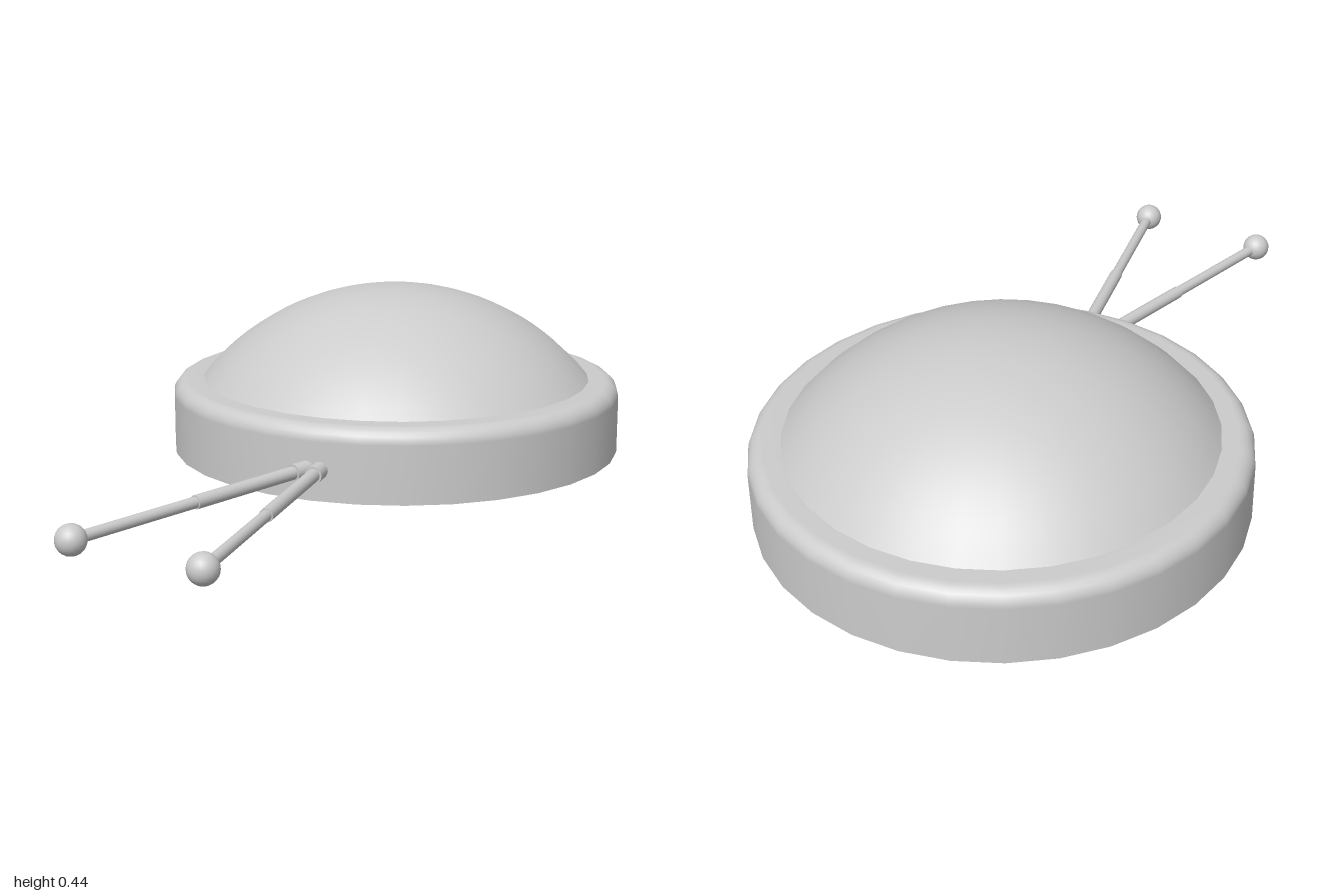
import * as THREE from 'three';

const material = new THREE.MeshStandardMaterial({ color: 0xcccccc });
const BODY_Z = -0.39;

function lathe(name, points) {
  const mesh = new THREE.Mesh(new THREE.LatheGeometry(points.map(([r, y]) => new THREE.Vector2(r, y)), 32), material);
  mesh.name = name;
  mesh.position.z = BODY_Z;
  return mesh;
}

// Capped rod running from a to b
function rod(name, a, b, radiusA, radiusB) {
  const mesh = new THREE.Mesh(new THREE.CylinderGeometry(radiusB, radiusA, a.distanceTo(b), 16), material);
  mesh.name = name;
  mesh.position.copy(a).lerp(b, 0.5);
  mesh.quaternion.setFromUnitVectors(new THREE.Vector3(0, 1, 0), b.clone().sub(a).normalize());
  return mesh;
}

// Antenna: socket, two telescoping rods and a ball tip
function antenna(name, base, tip) {
  const group = new THREE.Group();
  group.name = name;
  const at = (t) => base.clone().lerp(tip, t);
  group.add(rod('antennaSocket', at(-0.04), at(0.06), 0.022, 0.022));
  group.add(rod('antennaInnerRod', at(0), at(0.5), 0.017, 0.017));
  group.add(rod('antennaOuterRod', at(0.48), at(1), 0.014, 0.014));
  const ball = new THREE.Mesh(new THREE.SphereGeometry(0.037, 20, 14), material);
  ball.name = 'antennaBall';
  ball.position.copy(tip);
  group.add(ball);
  return group;
}

export function createModel() {
  const model = new THREE.Group();
  model.name = 'domedReceiver';

  // Round base wall with a filleted upper edge
  const wall = [[0.61, 0]];
  for (let i = 0; i <= 6; i++) {
    const a = (i / 6) * Math.PI / 2;
    wall.push([0.57 + 0.04 * Math.cos(a), 0.152 + 0.04 * Math.sin(a)]);
  }
  wall.push([0.52, 0.192]);
  model.add(lathe('baseWall', wall));

  // Flat underside
  const bottom = new THREE.Mesh(new THREE.CircleGeometry(0.61, 32), material);
  bottom.name = 'baseUnderside';
  bottom.rotation.x = Math.PI / 2;
  bottom.position.z = BODY_Z;
  model.add(bottom);

  // Shallow spherical dome
  const rim = 0.53, rise = 0.25, top = 0.44;
  const R = (rim * rim + rise * rise) / (2 * rise);
  const sweep = Math.asin(rim / R);
  const dome = [];
  for (let i = 0; i <= 16; i++) {
    const a = sweep * (1 - i / 16);
    dome.push([R * Math.sin(a), top - R + R * Math.cos(a)]);
  }
  model.add(lathe('dome', dome));

  // Pair of splayed antennae at the front
  model.add(antenna('rightAntenna', new THREE.Vector3(-0.012, 0.08, 0.22), new THREE.Vector3(-0.284, 0.07, 0.895)));
  model.add(antenna('leftAntenna', new THREE.Vector3(0.024, 0.08, 0.22), new THREE.Vector3(0.07, 0.07, 0.96)));
  return model;
}
